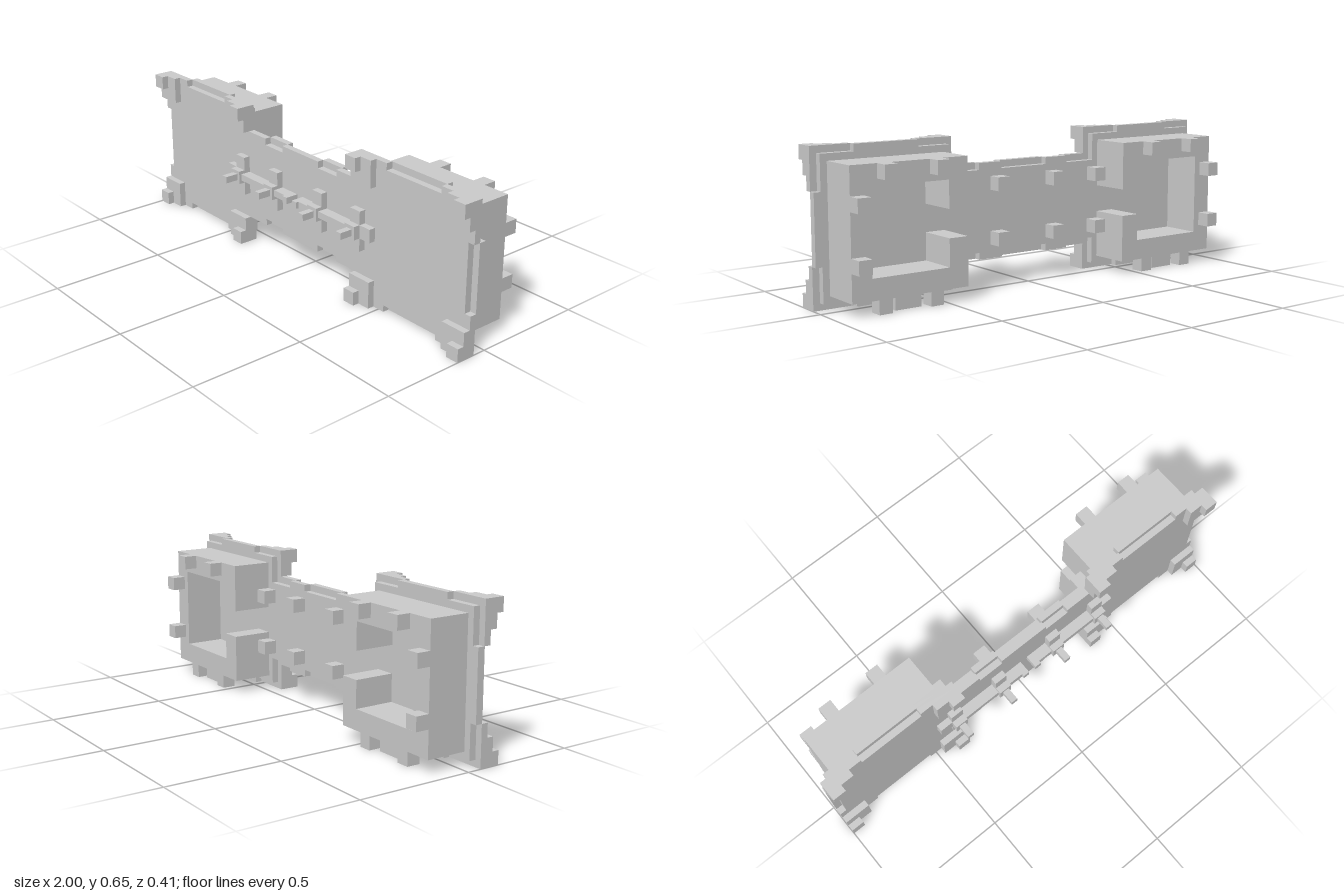
import * as THREE from 'three';

// All sizes below are in blocks; 68 blocks make the full length of 2.
const U = 1 / 34;
const material = new THREE.MeshStandardMaterial({ color: 0xcccccc, flatShading: true });

function box(parent, name, x0, x1, y0, y1, z0, z1) {
  const geometry = new THREE.BoxGeometry(x1 - x0, y1 - y0, z1 - z0);
  const mesh = new THREE.Mesh(geometry, material);
  mesh.name = name;
  mesh.position.set((x0 + x1) / 2, (y0 + y1) / 2, (z0 + z1) / 2);
  parent.add(mesh);
}

// The same box on both sides of x = 0
function pair(parent, name, x0, x1, ...rest) {
  box(parent, name, x0, x1, ...rest);
  box(parent, name, -x1, -x0, ...rest);
}

// Dumbbell-shaped plate layer: e grows the outline, d steps the edge out or in
function plate(parent, name, e, d, z) {
  const q = [
    [4, 7 + e], [4, 7 + e + d], [8, 7 + e + d], [8, 7 + e],
    [12 - e, 7 + e], [12 - e, 11 + e],
    [18, 11 + e], [18, 11 + e + d], [28, 11 + e + d], [28, 11 + e],
    [34 + e, 11 + e], [34 + e, 5], [34 + e + d, 5],
  ];
  const r = [...q].reverse();
  const outline = [
    ...q,
    ...r.map(([x, y]) => [x, -y]),
    ...q.map(([x, y]) => [-x, -y]),
    ...r.map(([x, y]) => [-x, y]),
  ].map(([x, y]) => new THREE.Vector2(x, y + 11));
  const geometry = new THREE.ExtrudeGeometry(new THREE.Shape(outline), { depth: 1, bevelEnabled: false });
  const mesh = new THREE.Mesh(geometry, material);
  mesh.name = name;
  mesh.position.z = z;
  parent.add(mesh);
}

function group(parent, name) {
  const g = new THREE.Group();
  g.name = name;
  parent.add(g);
  return g;
}

export function createModel() {
  const model = new THREE.Group();
  model.name = 'dumbbellPanel';
  model.scale.setScalar(U);

  // Two interlocking plate layers
  plate(model, 'frontPlate', 0, -1, 2);
  plate(model, 'backPlate', -1, 1, 1);

  // Stepped brackets on the corners of both end panels
  const brackets = group(model, 'cornerBrackets');
  for (const top of [false, true]) {
    const span = (h) => (top ? [22 - h, 22] : [0, h]);
    pair(brackets, 'bracketBase', 30, 34, ...span(4), 3, 4);
    pair(brackets, 'bracketCap', 32, 34, ...span(2), 4, 5);
    pair(brackets, 'bracketBase', 12, 16, ...span(4), 3, 4);
    pair(brackets, 'bracketCap', 12, 14, ...span(2), 4, 5);
  }

  // Handle bars held by uprights with hubs and pins
  const handles = group(model, 'handles');
  for (const x of [4, 12]) {
    pair(handles, 'upright', x, x + 2, 8, 14, 3, 4);
    pair(handles, 'hub', x, x + 2, 10, 12, 4, 5);
    pair(handles, 'pin', x + 0.5, x + 1.5, 10.5, 11.5, 5, 7);
  }
  pair(handles, 'outerArm', 14, 16, 10, 12, 3, 4);
  pair(handles, 'rod', 1.6, 12, 10.5, 11.5, 3, 4.6);
  pair(handles, 'rodEnd', 0.6, 1.6, 10.5, 11.5, 3, 5);

  // Open trays behind the end panels, with a gap in each inner wall
  const trays = group(model, 'trays');
  pair(trays, 'topWall', 14, 32, 17, 20, -5, 1);
  pair(trays, 'bottomWall', 14, 32, 2, 5, -5, 1);
  pair(trays, 'outerWall', 29, 32, 5, 17, -5, 1);
  pair(trays, 'innerWallUpper', 14, 17, 13, 17, -5, 1);
  pair(trays, 'innerWallLower', 14, 17, 5, 9, -5, 1);

  // Studs on the tray rims and feet below
  for (const x of [18, 26]) {
    pair(trays, 'topStud', x, x + 2, 18, 20, -7, -5);
    pair(trays, 'foot', x, x + 2, 0, 2, -5, -3);
  }
  pair(trays, 'middleFoot', 21, 25, 0, 2, -4, -1);
  pair(trays, 'innerFoot', 22, 24, 0, 2, -1, 0);
  for (const y of [6, 14]) pair(trays, 'sideStud', 30, 32, y, y + 2, -7, -5);

  // Studs on the back of the narrow middle
  const studs = group(model, 'backStuds');
  for (const x of [4, 12]) {
    for (const y of [6, 14]) pair(studs, 'backStud', x, x + 2, y, y + 2, -1, 1);
  }

  const root = new THREE.Group();
  root.name = 'panel';
  root.add(model);
  return root;
}
